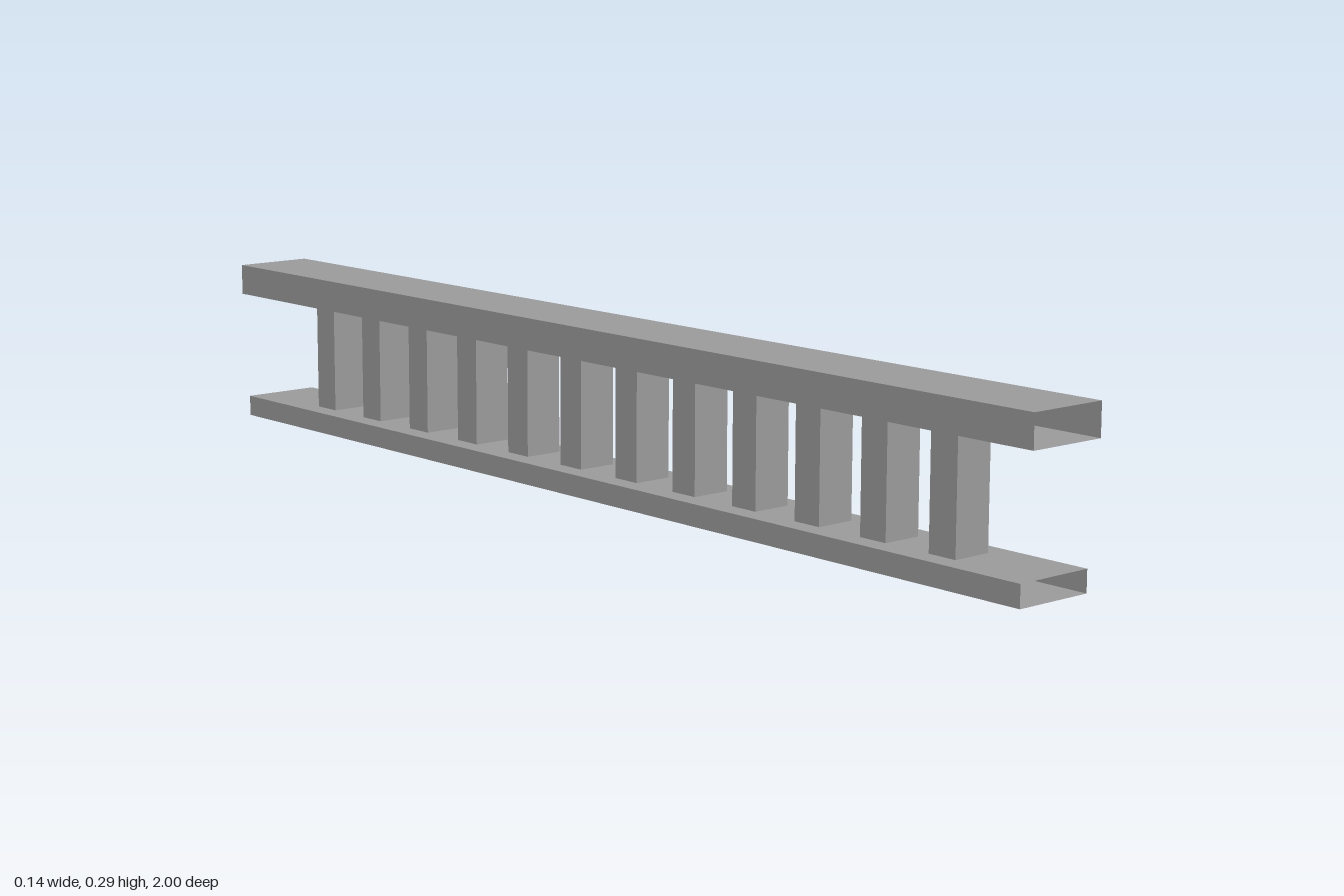
import * as THREE from 'three';

const material = new THREE.MeshStandardMaterial({
  color: 0x9b9b9b, flatShading: true, side: THREE.DoubleSide,
});

// Square tube of unit size along y, open at both ends
function unitTube() {
  return new THREE.CylinderGeometry(Math.SQRT1_2, Math.SQRT1_2, 1, 4, 1, true).rotateY(Math.PI / 4);
}

// Rail: open-ended rectangular tube running along z
function rail(name, width, bottom, top, length) {
  const geometry = unitTube().rotateX(Math.PI / 2).scale(width, top - bottom, length);
  const mesh = new THREE.Mesh(geometry, material);
  mesh.name = name;
  mesh.position.y = (bottom + top) / 2;
  return mesh;
}

export function createModel() {
  const group = new THREE.Group();
  group.name = 'balustrade';

  const baseTop = 0.037, handrailBottom = 0.232;
  group.add(rail('bottomRail', 0.143, 0, baseTop, 1.964));
  group.add(rail('handrail', 0.143, handrailBottom, 0.287, 2));

  // Evenly spaced balusters between the two rails
  const count = 12, first = 0.795, last = -0.778;
  const height = handrailBottom - baseTop;
  const geometry = unitTube().scale(0.07, height, 0.054);
  const balusters = new THREE.Group();
  balusters.name = 'balusters';
  for (let i = 0; i < count; i++) {
    const baluster = new THREE.Mesh(geometry, material);
    baluster.name = `baluster${i + 1}`;
    baluster.position.set(0, baseTop + height / 2, first + (last - first) * i / (count - 1));
    balusters.add(baluster);
  }
  group.add(balusters);
  return group;
}
